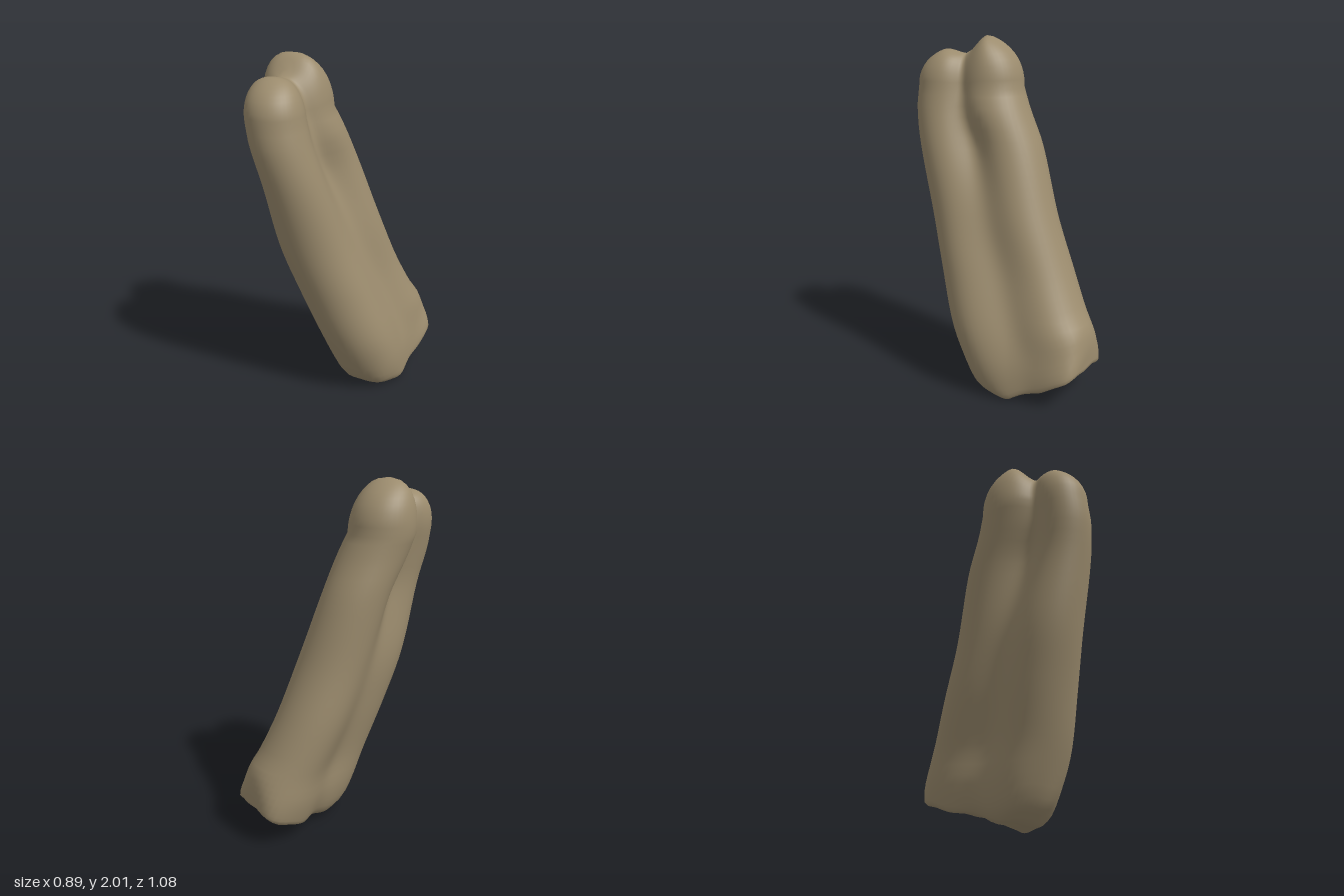
import * as THREE from 'three';
import { mergeVertices } from 'three/addons/utils/BufferGeometryUtils.js';

// Sections by height: [y, back lobe x, z, radius, front lobe x, z, radius, blend]
const SECTIONS = [
  [0.00, 0.25, -0.345, 0.205, 0.18, -0.02, 0.15, 0.24],
  [0.07, 0.235, -0.335, 0.212, 0.145, 0.02, 0.185, 0.25],
  [0.20, 0.20, -0.31, 0.212, 0.115, 0.06, 0.208, 0.25],
  [0.40, 0.16, -0.265, 0.21, 0.065, 0.125, 0.212, 0.24],
  [0.70, 0.05, -0.175, 0.205, -0.035, 0.19, 0.208, 0.21],
  [1.00, -0.035, -0.085, 0.20, -0.13, 0.26, 0.195, 0.19],
  [1.40, -0.145, -0.005, 0.187, -0.212, 0.367, 0.163, 0.17],
  [1.60, -0.205, 0.075, 0.193, -0.262, 0.392, 0.158, 0.10],
  [1.72, -0.248, 0.105, 0.187, -0.285, 0.385, 0.155, 0.05],
];
const SIDES = 72;
const TOP = 1.72;

function sectionAt(y) {
  let i = 0;
  while (i < SECTIONS.length - 2 && y > SECTIONS[i + 1][0]) i++;
  const at = (n) => SECTIONS[Math.max(0, Math.min(SECTIONS.length - 1, n))];
  const [p, a, b, q] = [at(i - 1), at(i), at(i + 1), at(i + 2)];
  const h = b[0] - a[0];
  const t = (y - a[0]) / h;
  return a.map((v, n) => {
    const m0 = (b[n] - p[n]) / (b[0] - p[0]) * h;
    const m1 = (q[n] - v) / (q[0] - a[0]) * h;
    return (2 * t ** 3 - 3 * t * t + 1) * v + (t ** 3 - 2 * t * t + t) * m0
      + (3 * t * t - 2 * t ** 3) * b[n] + (t ** 3 - t * t) * m1;
  });
}

function smoothMin(a, b, k) {
  const h = Math.max(k - Math.abs(a - b), 0) / k;
  return Math.min(a, b) - h * h * k / 4;
}

// Signed distance to two softly joined circles, trimmed by the flat back end
function distance(s, x, z) {
  const back = Math.hypot(x - s[1], z - s[2]) - s[3];
  const front = Math.hypot(x - s[4], z - s[5]) - s[6];
  const end = (x - 0.15) * 0.54 - (z + 0.555) * 0.84;
  return -smoothMin(-smoothMin(back, front, s[7]), -end, 0.05);
}

// Outline of one level, found along rays from between the lobes
function outline(y) {
  const s = sectionAt(y);
  const f = s[3] / (s[3] + s[6]);
  const cx = s[1] + (s[4] - s[1]) * f;
  const cz = s[2] + (s[5] - s[2]) * f;
  const points = [];
  for (let i = 0; i < SIDES; i++) {
    const angle = i / SIDES * Math.PI * 2;
    const dx = Math.cos(angle), dz = Math.sin(angle);
    let lo = 0, hi = 0.8;
    for (let n = 0; n < 24; n++) {
      const mid = (lo + hi) / 2;
      if (distance(s, cx + dx * mid, cz + dz * mid) < 0) lo = mid; else hi = mid;
    }
    points.push([cx + dx * lo, cz + dz * lo]);
  }
  return { s, cx, cz, points };
}

const shrink = (o, t) => o.points.map(([x, z]) => [o.cx + (x - o.cx) * t, o.cz + (z - o.cz) * t]);

// Slanted, slightly uneven broken end
const baseHeight = (x, z) => 0.012 + 0.43 * Math.max(0, -z) * (0.5 + 1.5 * x)
  + 0.01 * Math.sin(x * 27 + 1) * Math.sin(z * 23);

function createBodyGeometry() {
  const rings = [];
  const base = outline(0);
  for (const t of [0, 0.3, 0.6, 0.85, 0.96]) {
    rings.push(shrink(base, t).map(([x, z]) => [x, baseHeight(x, z) + (1 - t) * 0.02, z]));
  }
  // Walls
  const levels = [0.015, 0.04, 0.07, 0.12];
  for (let y = 0.18; y < TOP - 0.02; y += 0.06) levels.push(y);
  levels.push(TOP);
  for (const y of levels) {
    const fade = Math.max(0, 1 - y / 0.5);
    rings.push(outline(y).points.map(([x, z]) => [x, y + baseHeight(x, z) * fade, z]));
  }
  // Two-humped rounded top
  const top = outline(TOP);
  const { s } = top;
  const ax = s[4] - s[1], az = s[5] - s[2];
  for (const t of [0.993, 0.975, 0.94, 0.89, 0.82, 0.74, 0.65, 0.56, 0.46, 0.36, 0.25, 0.13, 0]) {
    const dome = (1 - t * t) ** 0.43;
    rings.push(shrink(top, t).map(([x, z]) => {
      const along = ((x - top.cx) * ax + (z - top.cz) * az) / (ax * ax + az * az);
      const k = Math.min(1, Math.abs(along) / 0.5);
      const rise = 0.19 + (along > 0 ? 0.046 : 0.126) * k * k * (3 - 2 * k);
      return [x - 0.02 * dome, TOP + rise * dome, z];
    }));
  }

  const index = [];
  for (let r = 0; r < rings.length - 1; r++) {
    for (let i = 0; i < SIDES; i++) {
      const a = r * SIDES + i, c = r * SIDES + (i + 1) % SIDES;
      const b = a + SIDES, d = c + SIDES;
      if (r > 0) index.push(a, b, c);
      if (r < rings.length - 2) index.push(b, d, c);
    }
  }
  let geometry = new THREE.BufferGeometry();
  geometry.setAttribute('position', new THREE.Float32BufferAttribute(rings.flat(2), 3));
  geometry.setIndex(index);
  geometry = mergeVertices(geometry, 1e-5);
  geometry.computeVertexNormals();
  return geometry;
}

export function createModel() {
  const group = new THREE.Group();
  group.name = 'twinLobedStone';
  const stone = new THREE.MeshStandardMaterial({ color: 0x9c8c6e });
  stone.name = 'warm brown stone';
  const body = new THREE.Mesh(createBodyGeometry(), stone);
  body.name = 'body';
  group.add(body);
  return group;
}
